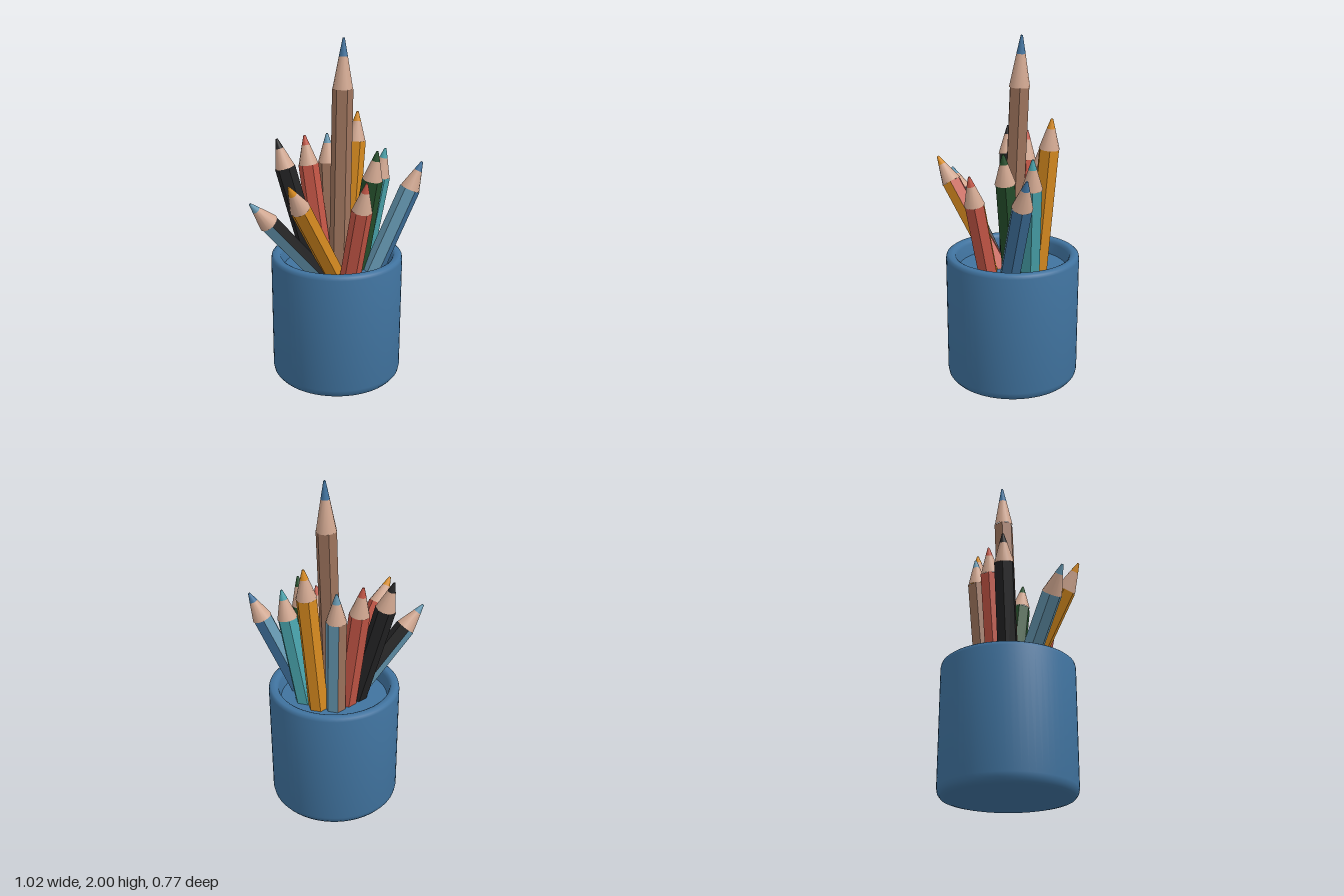
import * as THREE from 'three';
import { toCreasedNormals } from 'three/addons/utils/BufferGeometryUtils.js';

const make = (name, hex, flat = false) => {
  const m = new THREE.MeshStandardMaterial({ color: hex, flatShading: flat });
  m.name = name;
  return m;
};

export function createModel() {
  const M = {
    blue: make('blue', 0x40739f),
    orange: make('orange', 0xd98c20),
    wood: make('bare wood', 0xd2a891),
    black: make('black', 0x232324),
    red: make('red', 0xc45646),
    green: make('green', 0x254f2c),
    cyan: make('cyan', 0x49a3ac),
    pale: make('pale blue', 0x6699b3),
    brown: make('brown', 0x9e745d),
  };
  const group = new THREE.Group();
  group.name = 'pencilCup';

  // cup: rounded foot and rim, shallow inner floor
  const profile = [
    [0, 0], [0.34, 0], [0.365, 0.006], [0.38, 0.025], [0.385, 0.05],
    [0.386, 0.735], [0.382, 0.752], [0.372, 0.76], [0.345, 0.76],
    [0.332, 0.752], [0.326, 0.735], [0.315, 0.67], [0, 0.67],
  ].map(([r, y]) => new THREE.Vector2(r, y));
  const cup = new THREE.Mesh(toCreasedNormals(new THREE.LatheGeometry(profile, 64), 0.7), M.blue);
  cup.name = 'cup';
  cup.position.x = 0.055;
  group.add(cup);

  // pencil: hexagonal body, bare cone and coloured lead, along the line from foot to tip
  function pencil({ name, tip, foot, body, lead = body, second, facing, cone = 0.17, leadLen = 0.055 }) {
    const top = new THREE.Vector3(...tip);
    const axis = top.clone().sub(new THREE.Vector3(...foot));
    const length = axis.length() + 0.14;
    axis.normalize();
    const p = new THREE.Group();
    p.name = name;
    p.position.copy(top);
    p.quaternion.setFromUnitVectors(new THREE.Vector3(0, 1, 0), axis);

    const r = 0.06, bodyLen = length - cone;
    const leadR = 0.006 + (r - 0.006) * leadLen / cone;
    const part = (label, geo, mat, y) => {
      const mesh = new THREE.Mesh(geo, mat);
      mesh.name = label;
      mesh.position.y = y;
      p.add(mesh);
    };

    // sides turned towards "facing" take the second colour
    const hex = new THREE.CylinderGeometry(r, r, bodyLen, 6).toNonIndexed();
    hex.computeVertexNormals();
    hex.clearGroups();
    const normal = new THREE.Vector3();
    for (let i = 0; i < 6; i++) {
      normal.fromBufferAttribute(hex.attributes.normal, i * 6).applyQuaternion(p.quaternion);
      const turned = second && normal.dot(new THREE.Vector3(...facing).normalize()) > 0.3;
      hex.addGroup(i * 6, 6, turned ? 1 : 0);
    }
    hex.addGroup(36, 36, 2);
    part('body', hex, [M[body], M[second || body], M.wood], -cone - bodyLen / 2);
    part('sharpenedWood', new THREE.CylinderGeometry(leadR, r - 0.002, cone - leadLen, 12, 1, true),
      M.wood, -(cone + leadLen) / 2);
    part('lead', new THREE.CylinderGeometry(0.006, leadR, leadLen, 12), M[lead], -leadLen / 2);
    group.add(p);
  }

  // feet are given at rim height
  [
    { name: 'tallPencil', tip: [0.105, 2, -0.025], foot: [0.068, 0.76, 0.01], body: 'brown', lead: 'blue', cone: 0.28, leadLen: 0.1 },
    { name: 'backOrangePencil', tip: [0.25, 1.56, -0.13], foot: [0.18, 0.76, -0.1], body: 'orange' },
    { name: 'blackPencil', tip: [-0.25, 1.44, -0.155], foot: [-0.09, 0.76, -0.06], body: 'black' },
    { name: 'bluePencil', tip: [0.503, 1.305, 0.19], foot: [0.27, 0.76, 0.14], body: 'blue', second: 'pale', facing: [-0.5, 1, 0] },
    { name: 'cyanPencil', tip: [0.34, 1.37, 0.05], foot: [0.245, 0.76, 0], body: 'cyan' },
    { name: 'greenPencil', tip: [0.225, 1.39, 0.165], foot: [0.165, 0.76, 0.08], body: 'green' },
    { name: 'frontRedPencil', tip: [0.09, 1.255, 0.3], foot: [0.065, 0.76, 0.19], body: 'red', second: 'orange', facing: [0, 0.3, -1] },
    { name: 'leftOrangePencil', tip: [-0.355, 1.28, 0.265], foot: [-0.055, 0.76, 0.1], body: 'orange', second: 'red', facing: [0.6, 0.6, -0.5] },
    { name: 'paleBluePencil', tip: [-0.51, 1.16, 0.09], foot: [-0.165, 0.76, 0.045], body: 'pale', second: 'black', facing: [0.75, 1, 0.15] },
    { name: 'backRedPencil', tip: [-0.07, 1.44, -0.175], foot: [-0.005, 0.76, -0.1], body: 'red' },
    { name: 'backBrownPencil', tip: [0.085, 1.43, -0.2], foot: [0.08, 0.76, -0.14], body: 'brown', lead: 'pale', second: 'pale', facing: [1, 0, -0.3] },
  ].forEach(pencil);

  return group;
}
